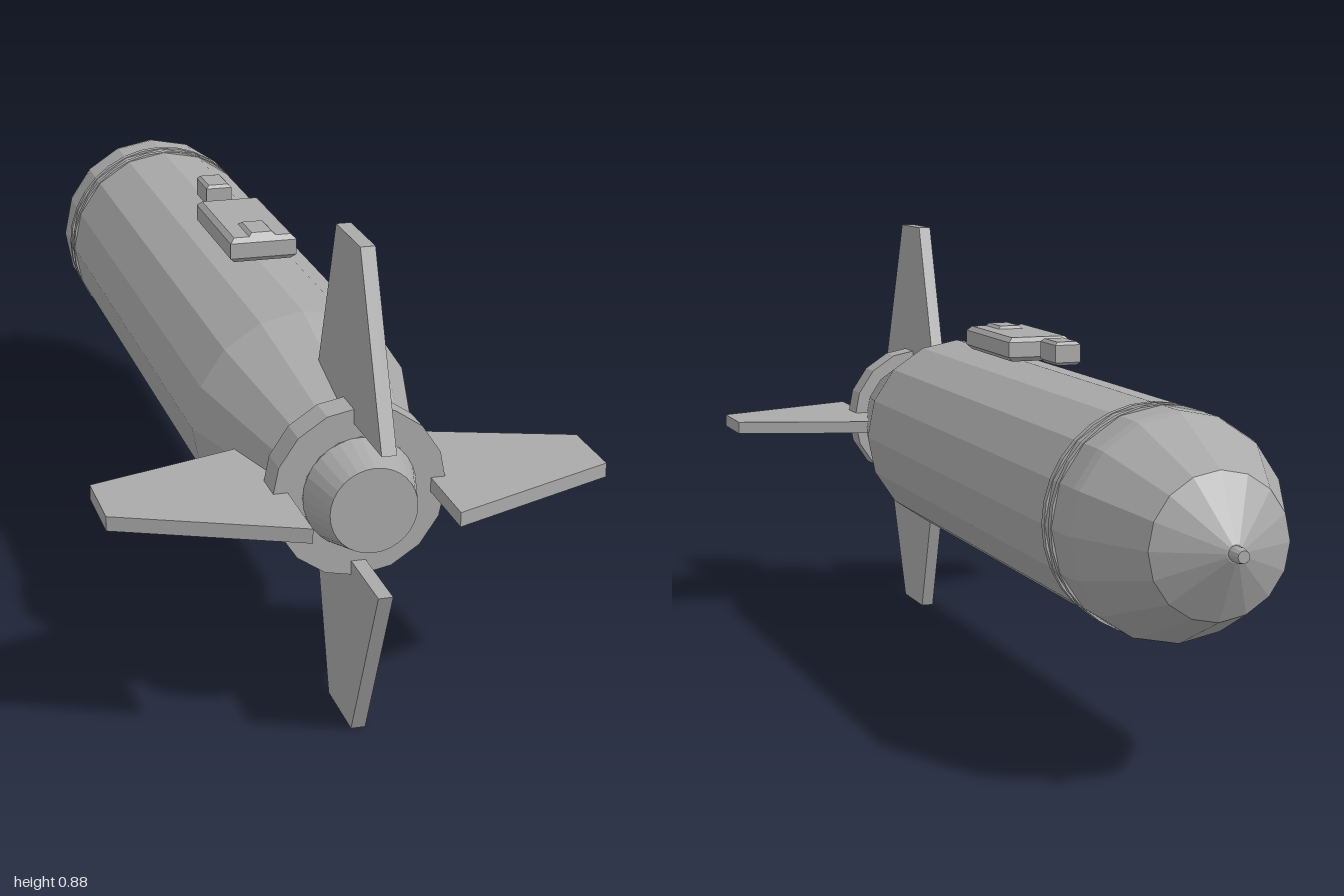
import * as THREE from 'three';

const AXIS_Y = 0.4425;
const SIDES = 16;

export function createModel() {
  const model = new THREE.Group();
  model.name = 'finnedBomb';
  const grey = new THREE.MeshStandardMaterial({ color: 0xaaaaaa });
  grey.name = 'grey';

  function add(name, geometry, parent = model) {
    const flat = geometry.index ? geometry.toNonIndexed() : geometry;
    flat.computeVertexNormals();
    const mesh = new THREE.Mesh(flat, grey);
    mesh.name = name;
    parent.add(mesh);
    return mesh;
  }

  // Solid of revolution along z from [radius, z] pairs, nose to tail
  function turned(name, profile, sides = SIDES) {
    const points = profile.map(([r, z]) => new THREE.Vector2(r, z));
    const geometry = new THREE.LatheGeometry(points, sides);
    geometry.rotateX(Math.PI / 2);
    geometry.translate(0, AXIS_Y, 0);
    return add(name, geometry);
  }

  // Block with chamfered edges, given its centre and full size
  function chamferedBlock(name, [cx, cy, cz], [w, h, d], c) {
    const a = w / 2 - c, b = d / 2 - c;
    const shape = new THREE.Shape([[-a, -b], [a, -b], [a, b], [-a, b]].map(p => new THREE.Vector2(...p)));
    const geometry = new THREE.ExtrudeGeometry(shape, {
      depth: h - 2 * c, bevelEnabled: true, bevelSize: c, bevelThickness: c, bevelSegments: 1,
    });
    geometry.translate(0, 0, -(h - 2 * c) / 2);
    geometry.rotateX(-Math.PI / 2);
    geometry.translate(cx, cy, cz);
    return add(name, geometry);
  }

  // Hull: blunt nose cone, straight barrel and tapered tail
  turned('hull', [
    [0, -0.968], [0.016, -0.968], [0.13, -0.905], [0.203, -0.74], [0.207, -0.72],
    [0.207, 0.5], [0.125, 0.8], [0.102, 0.85], [0.102, 0.851], [0, 0.851],
  ]);
  turned('noseTip', [[0, -1], [0.011, -1], [0.014, -0.985], [0.014, -0.95]], 12);
  turned('tailPlug', [[0.104, 0.84], [0.077, 0.93], [0, 0.93]], 32);
  turned('tailCollar', [[0.1, 0.79], [0.155, 0.79], [0.155, 0.85], [0.1, 0.85]]);

  // Thin bands behind the nose
  for (const z of [-0.648, -0.615]) {
    turned('noseBand', [[0.19, z - 0.007], [0.208, z - 0.007], [0.208, z + 0.007], [0.19, z + 0.007]], 32);
  }

  // Four swept fins; shape x runs outward, shape y runs along z
  const finShape = new THREE.Shape(
    [[0.127, 0.63], [0.4425, 0.733], [0.4425, 0.867], [0.127, 1]].map(p => new THREE.Vector2(...p)));
  const fins = new THREE.Group();
  fins.name = 'fins';
  fins.position.y = AXIS_Y;
  model.add(fins);
  for (let i = 0; i < 4; i++) {
    const geometry = new THREE.ExtrudeGeometry(finShape, { depth: 0.026, bevelEnabled: false });
    geometry.translate(0, 0, -0.013);
    geometry.rotateX(Math.PI / 2);
    add('fin', geometry, fins).rotation.z = i * Math.PI / 2;
  }

  // Fittings along the top
  chamferedBlock('topPlate', [0, 0.684, 0.1], [0.13, 0.048, 0.268], 0.009);
  chamferedBlock('rearLug', [0, 0.691, 0.183], [0.052, 0.046, 0.084], 0.006);
  chamferedBlock('frontLug', [0, 0.691, -0.15], [0.052, 0.046, 0.084], 0.006);

  return model;
}
